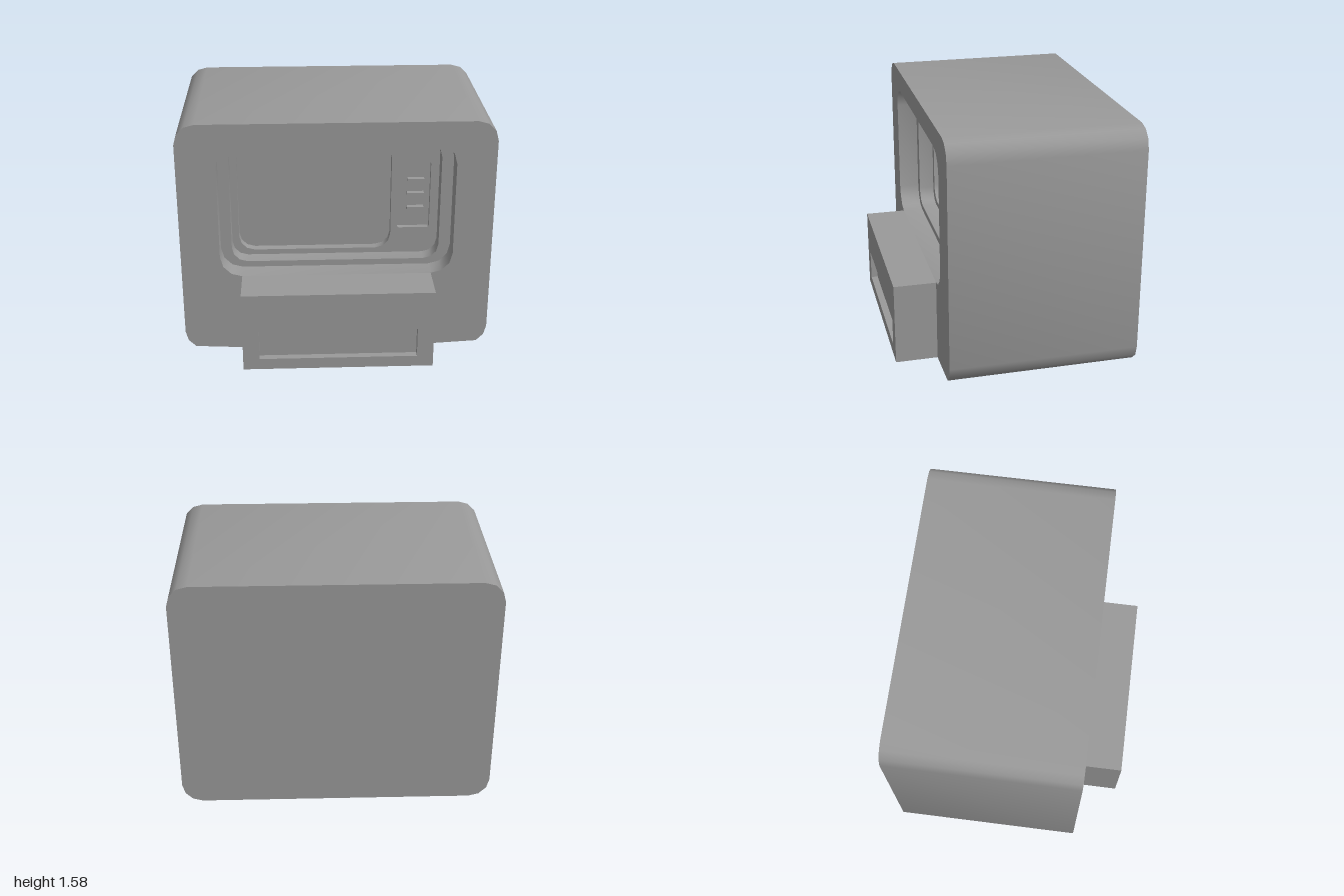
import * as THREE from 'three';
import { toCreasedNormals } from 'three/addons/utils/BufferGeometryUtils.js';

// Counter-clockwise rectangle [x0, x1, y0, y1] with rounded corners, as points
function outline([x0, x1, y0, y1], r = 0) {
  if (r === 0) return [[x1, y1], [x0, y1], [x0, y0], [x1, y0]];
  const centres = [[x1 - r, y1 - r], [x0 + r, y1 - r], [x0 + r, y0 + r], [x1 - r, y0 + r]];
  const points = [];
  centres.forEach(([cx, cy], corner) => {
    for (let i = 0; i <= 3; i++) {
      const a = (corner + i / 3) * Math.PI / 2;
      points.push([cx + r * Math.cos(a), cy + r * Math.sin(a)]);
    }
  });
  return points;
}

const atDepth = (points, z) => points.map(([x, y]) => [x, y, z]);

// Skin joining a series of equal-length loops, optionally closed at either end
function loft(loops, capStart, capEnd) {
  const pos = [];
  const tri = (a, b, c) => pos.push(...a, ...b, ...c);
  for (let k = 0; k < loops.length - 1; k++) {
    const a = loops[k], b = loops[k + 1], n = a.length;
    for (let i = 0; i < n; i++) {
      const j = (i + 1) % n;
      tri(a[i], a[j], b[j]);
      tri(a[i], b[j], b[i]);
    }
  }
  const first = loops[0], last = loops[loops.length - 1];
  for (let i = 1; i < first.length - 1; i++) {
    if (capStart) tri(first[0], first[i + 1], first[i]);
    if (capEnd) tri(last[0], last[i], last[i + 1]);
  }
  const g = new THREE.BufferGeometry();
  g.setAttribute('position', new THREE.Float32BufferAttribute(pos, 3));
  return toCreasedNormals(g, 0.6);
}

export function createModel() {
  const group = new THREE.Group();
  const grey = new THREE.MeshStandardMaterial({ color: 0x999999 });
  grey.name = 'caseGrey';
  const add = (name, geometry, x = 0, y = 0, z = 0) => {
    const mesh = new THREE.Mesh(geometry, grey);
    mesh.name = name;
    mesh.position.set(x, y, z);
    group.add(mesh);
  };

  const back = -0.74, front = 0.47, step = 0.335, face = 0.235;
  const caseOuter = outline([-1, 1, 0, 1.575], 0.13);
  const opening = outline([-0.75, 0.75, 0.535, 1.435], 0.14);
  const bezel = outline([-0.68, 0.675, 0.575, 1.39], 0.1);
  const screen = outline([-0.635, 0.365, 0.61, 1.36], 0.1);
  const controls = outline([0.41, 0.62, 0.755, 1.215], 0.01);

  // The front bottom edge rises gently from the drive housing to the corners
  const caseFront = caseOuter.map(([x, y]) => (y < 0.001 ? [Math.sign(x) * 0.61, 0] : [x, y]));

  // Case with its two-step recess
  add('case', loft([
    atDepth(caseOuter, back), atDepth(caseFront, front),
    atDepth(opening, front), atDepth(opening, step),
    atDepth(bezel, step), atDepth(bezel, face),
  ], true, false));

  // Faceplate with cut-outs for screen and controls
  const vectors = (points) => points.map(([x, y]) => new THREE.Vector2(x, y));
  const plate = new THREE.Shape(vectors(bezel));
  plate.holes.push(new THREE.Path(vectors(screen)), new THREE.Path(vectors(controls)));
  add('faceplate', new THREE.ShapeGeometry(plate), 0, 0, face);

  // Sunken screen and control panel
  add('screen', loft([atDepth(screen, face), atDepth(screen, 0.18)], false, true));
  add('controlPanel', loft([atDepth(controls, face), atDepth(controls, 0.2)], false, true));

  // Control buttons
  for (const y of [1.088, 0.99, 0.89]) {
    add('button', new THREE.BoxGeometry(0.11, 0.022, 0.035), 0.525, y, 0.2175);
  }

  // Projecting drive housing with a shallow slot
  const housing = outline([-0.612, 0.612, 0, 0.535]);
  const slot = outline([-0.507, 0.507, 0.075, 0.275]);
  add('driveHousing', loft([
    atDepth(housing, front), atDepth(housing, 0.74),
    atDepth(slot, 0.74), atDepth(slot, 0.695),
  ], false, true));

  return group;
}
